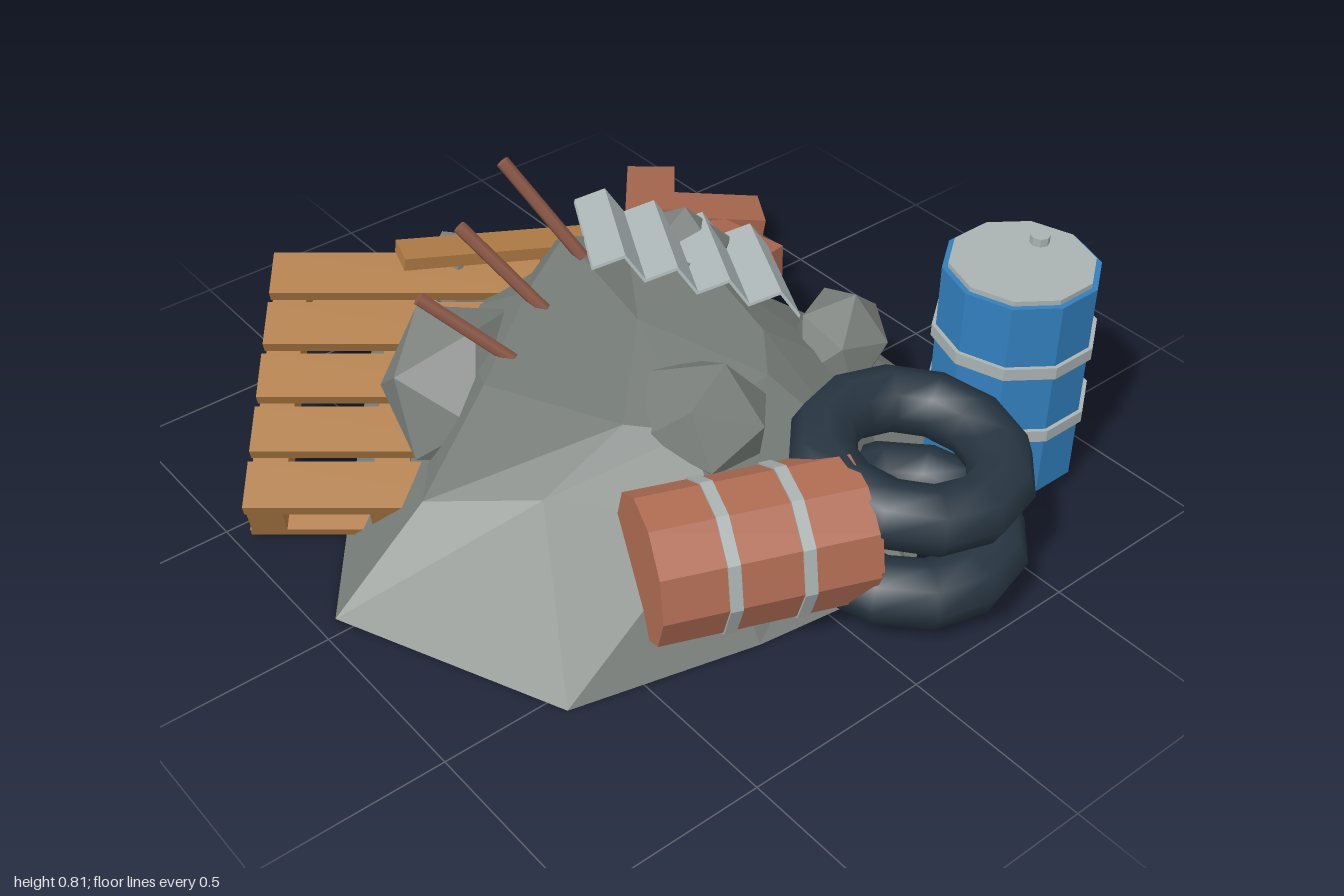
import * as THREE from 'three';

const mat = (color, extra = {}) => new THREE.MeshStandardMaterial({ color, ...extra });
const STONE = mat(0x767c78, { flatShading: true, side: THREE.DoubleSide });
const ROCK = mat(0x787d79, { flatShading: true });
const BLUE = mat(0x327fbd, { flatShading: true });
const RED = mat(0xb06c53, { flatShading: true });
const STEEL = mat(0xaab3b2, { flatShading: true });
const SHEET = mat(0xb0bbbc, { flatShading: true, side: THREE.DoubleSide });
const WOOD = mat(0xae7a44, { flatShading: true });
const BRICK = mat(0xa5654d, { flatShading: true });
const RUST = mat(0x8f5a48);
const RUBBER = mat(0x283642);
const V = (a) => new THREE.Vector3(...a);

function add(parent, name, geometry, material, pos = [0, 0, 0]) {
  const mesh = new THREE.Mesh(geometry, material);
  mesh.name = name;
  mesh.position.set(...pos);
  parent.add(mesh);
  return mesh;
}

// Place an object with its local x and (roughly) z along given directions
function orient(obj, pos, xDir, zDir) {
  const x = V(xDir).normalize();
  const y = V(zDir).cross(x).normalize();
  const z = x.clone().cross(y);
  obj.quaternion.setFromRotationMatrix(new THREE.Matrix4().makeBasis(x, y, z));
  obj.position.set(...pos);
  return obj;
}

// Faceted heap made from three irregular rings and a peak, open below
function moundGeometry() {
  const rings = [
    [[.85, 0, -.05], [.83, 0, .34], [.25, 0, .73], [-.2, 0, .67], [-.69, 0, .55],
      [-.95, 0, -.05], [-.28, 0, -.94], [.35, 0, -.99], [.62, 0, -.57]],
    [[.62, .2, -.08], [.55, .2, .2], [.3, .22, .46], [-.17, .25, .46], [-.47, .27, .17],
      [-.67, .22, -.06], [-.2, .27, -.62], [.18, .25, -.74], [.5, .24, -.4]],
    [[.3, .46, -.1], [.28, .41, .12], [.18, .39, .25], [-.1, .37, .29], [-.23, .39, .18],
      [-.47, .485, -.06], [-.2, .54, -.25], [0, .57, -.36], [.2, .49, -.35]],
  ];
  const n = 9, pos = [];
  for (let i = 0; i < n; i++) {
    const j = (i + 1) % n;
    for (let r = 0; r < 2; r++) {
      const [a, b, c, d] = [rings[r][i], rings[r][j], rings[r + 1][i], rings[r + 1][j]];
      pos.push(...a, ...c, ...b, ...b, ...c, ...d);
    }
    pos.push(...rings[2][i], 0, .475, -.05, ...rings[2][j]);
  }
  const g = new THREE.BufferGeometry();
  g.setAttribute('position', new THREE.Float32BufferAttribute(pos, 3));
  g.computeVertexNormals();
  return g;
}

// Ten-sided drum along y, with two bands, a lid and a plug
function drum(name, bodyMat, lidMat, bandR) {
  const g = new THREE.Group();
  g.name = name;
  const ring = (r, h) => new THREE.CylinderGeometry(r, r, h, 10).rotateY(Math.PI / 10);
  add(g, 'drumBody', ring(.203, .585), bodyMat);
  for (const y of [-.1, .1]) add(g, 'drumBand', ring(bandR, .034), STEEL, [0, y, 0]);
  add(g, 'drumLid', ring(.188, .014), lidMat, [0, .299, 0]);
  add(g, 'drumPlug', new THREE.CylinderGeometry(.026, .026, .024, 8), lidMat, [.095, .317, -.03]);
  return g;
}

// Slats over three runners, with end boards underneath
function pallet() {
  const g = new THREE.Group();
  g.name = 'pallet';
  for (let i = 0; i < 5; i++) {
    add(g, 'slat', new THREE.BoxGeometry(.133, .034, .72), WOOD, [(i - 2) * .162, -.017, 0]);
  }
  for (const z of [-.31, 0, .31]) {
    add(g, 'runner', new THREE.BoxGeometry(.78, .085, .09), WOOD, [0, -.076, z]);
  }
  for (const x of [-.324, .324]) {
    add(g, 'bottomBoard', new THREE.BoxGeometry(.13, .028, .72), WOOD, [x, -.132, 0]);
  }
  return g;
}

// Zigzag sheet: a folded strip extruded along its ridges
function sheetGeometry(length, width, folds) {
  const top = [], bottom = [];
  for (let i = 0; i <= folds; i++) {
    const x = (i / folds - .5) * length, y = i % 2 ? .026 : -.026;
    top.push(new THREE.Vector2(x, y + .005));
    bottom.unshift(new THREE.Vector2(x, y - .005));
  }
  const g = new THREE.ExtrudeGeometry(new THREE.Shape([...top, ...bottom]), { depth: width, bevelEnabled: false });
  return g.translate(0, 0, -width / 2);
}

export function createModel() {
  const model = new THREE.Group();
  model.name = 'scrapHeap';
  add(model, 'mound', moundGeometry(), STONE);

  // Rocks: position, half sizes, turn
  const rocks = [
    [[-.03, .36, .25], [.17, .135, .19], .4],
    [[-.42, .36, -.235], [.23, .14, .23], 1.1],
    [[.54, .27, .14], [.165, .125, .14], .7],
    [[.4, .335, -.36], [.16, .18, .14], 2.0],
    [[-.12, .33, -.68], [.15, .12, .14], 2.9],
  ];
  for (const [p, s, turn] of rocks) {
    const rock = add(model, 'rock', new THREE.IcosahedronGeometry(1, 0), ROCK, p);
    rock.scale.set(...s);
    rock.rotation.set(turn * .5, turn, turn * .3);
  }

  // Drums, one upright and one lying
  const blue = drum('uprightDrum', BLUE, STEEL, .214);
  blue.position.set(.765, .335, .54);
  const red = drum('lyingDrum', RED, RED, .209);
  red.scale.setScalar(.92);
  red.position.set(-.165, .233, .575);
  red.quaternion.setFromUnitVectors(new THREE.Vector3(0, 1, 0), V([.93, 0, .37]).normalize());
  model.add(blue, red);

  // Two stacked tyres
  for (const [p, tilt] of [[[.255, .123, .69], 0], [[.295, .32, .655], .08]]) {
    const holder = new THREE.Group();
    holder.name = 'tyre';
    const geo = new THREE.TorusGeometry(.222, .086, 8, 12).rotateX(Math.PI / 2).scale(1, .99, 1.02);
    add(holder, 'tyreRing', geo, RUBBER);
    holder.position.set(...p);
    holder.rotation.set(tilt, 0, -tilt * .6);
    model.add(holder);
  }

  // Leaning pallet and loose plank
  model.add(orient(pallet(), [-.49, .3, -.44], [.46, .28, -.57], [.78, 0, .63]));
  orient(add(model, 'plank', new THREE.BoxGeometry(.57, .035, .1), WOOD),
    [-.07, .473, -.54], [.5, -.07, .17], [-.17, 0, .5]);

  // Corrugated sheet
  orient(add(model, 'corrugatedSheet', sheetGeometry(.57, .46, 8), SHEET),
    [.305, .475, -.22], [.445, -.18, .305], [-.235, .08, .39]);

  // Bent-out rods: top end and direction downwards
  const rods = [
    [[-.52, .66, -.25], [.16, -.17, .14]],
    [[-.32, .73, -.36], [.12, -.2, .15]],
    [[-.12, .8, -.45], [.11, -.23, .15]],
  ];
  for (const [end, down] of rods) {
    const dir = V(down).normalize();
    const rod = add(model, 'rod', new THREE.CylinderGeometry(.018, .018, .33, 6), RUST);
    rod.position.copy(V(end)).addScaledVector(dir, .165);
    rod.quaternion.setFromUnitVectors(new THREE.Vector3(0, 1, 0), dir.negate());
  }

  // Brick pile: centre and long direction
  const bricks = [
    [[.65, .195, -.805], [-.38, .06, .46]],
    [[.84, .09, -.735], [.38, -.06, .23]],
    [[.575, .085, -.665], [.48, .05, -.09]],
    [[.765, .09, -.565], [.07, .02, .55]],
  ];
  for (const [p, d] of bricks) {
    orient(add(model, 'brick', new THREE.BoxGeometry(.295, .105, .145), BRICK), p, d, [-d[2], 0, d[0]]);
  }
  return model;
}
